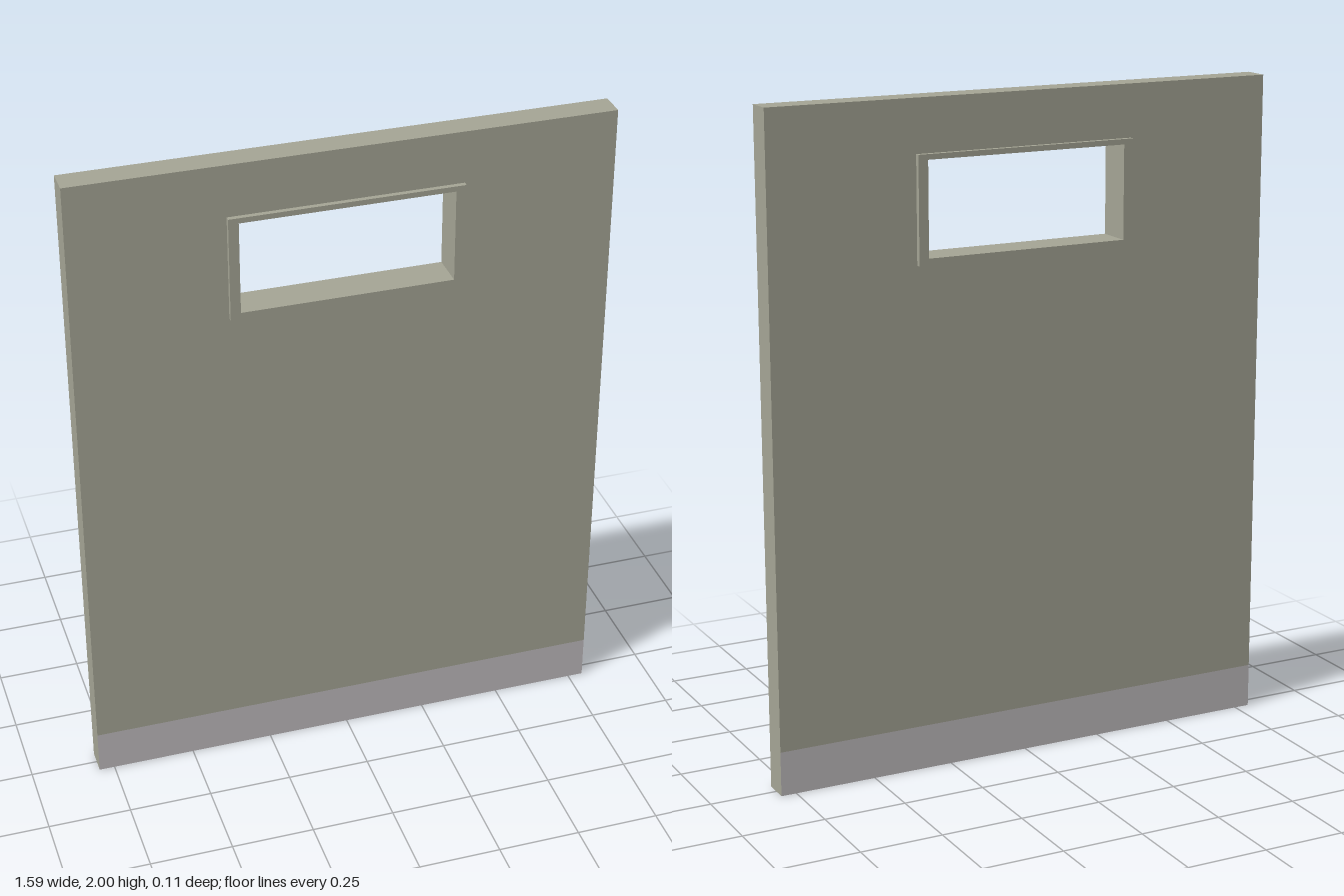
import * as THREE from 'three';

const HALF_W = 0.797, DEPTH = 0.08, BASE_H = 0.135;

// Rectangular outline given by its edges
function rect(Type, x, y0, y1) {
  const path = new Type();
  path.moveTo(-x, y0);
  path.lineTo(x, y0);
  path.lineTo(x, y1);
  path.lineTo(-x, y1);
  path.closePath();
  return path;
}

// Slab with a rectangular opening, centred on z = 0
function slabWithOpening(outer, inner, depth) {
  const shape = rect(THREE.Shape, ...outer);
  shape.holes.push(rect(THREE.Path, ...inner));
  return new THREE.ExtrudeGeometry(shape, { depth, bevelEnabled: false }).translate(0, 0, -depth / 2);
}

export function createModel() {
  const wallPaint = new THREE.MeshStandardMaterial({ name: 'wallPaint', color: 0xa5a595 });
  const skirtingPaint = new THREE.MeshStandardMaterial({ name: 'skirtingPaint', color: 0xbfbbbd });
  const model = new THREE.Group();
  model.name = 'wallPanel';

  const add = (name, geometry, material) => {
    const mesh = new THREE.Mesh(geometry, material);
    mesh.name = name;
    model.add(mesh);
    return mesh;
  };

  const frameOuter = [0.345, 1.525, 1.842];
  const opening = [0.315, 1.545, 1.826];

  // Wall above the skirting band
  add('wall', slabWithOpening([HALF_W, BASE_H, 2], frameOuter, DEPTH), wallPaint);

  // Window frame, standing proud on both faces
  add('windowFrame', slabWithOpening(frameOuter, opening, 0.11), wallPaint);

  // Bottom band: painted on front and back only
  add('skirtingBand', new THREE.BoxGeometry(HALF_W * 2, BASE_H, DEPTH),
    [wallPaint, wallPaint, wallPaint, wallPaint, skirtingPaint, skirtingPaint])
    .position.y = BASE_H / 2;

  return model;
}
